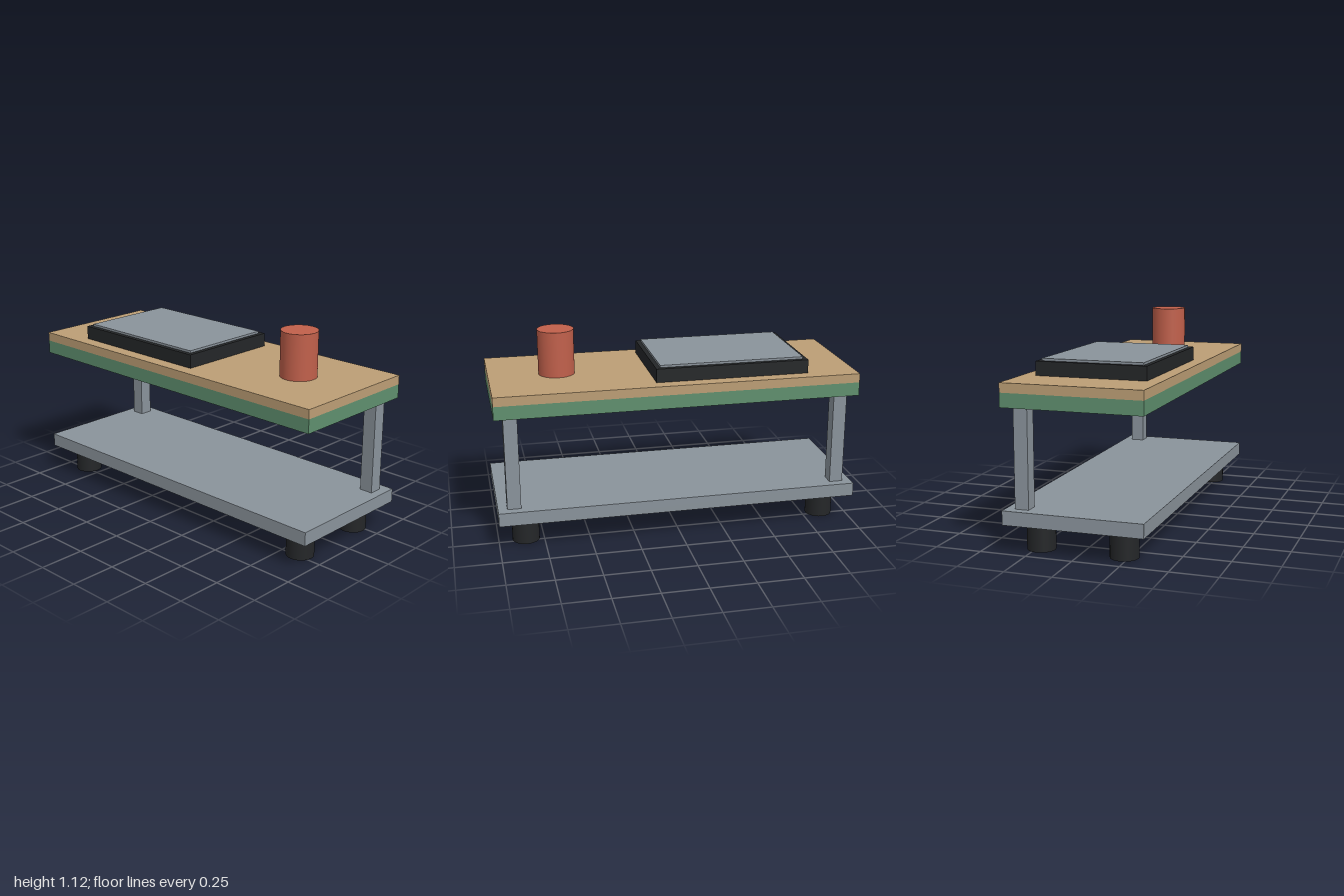
import * as THREE from 'three';

export function createModel() {
  const group = new THREE.Group();
  const mat = (color) => new THREE.MeshStandardMaterial({ color });
  const steel = mat(0x8a939b), black = mat(0x242628), green = mat(0x5f8f6e);
  const wood = mat(0xbc9e75), red = mat(0xc1604b);

  const add = (name, geometry, material, x, y, z) => {
    const mesh = new THREE.Mesh(geometry, material);
    mesh.name = name;
    mesh.position.set(x, y, z);
    group.add(mesh);
  };
  // y is the underside of each part
  const box = (name, material, w, h, d, x, y, z) =>
    add(name, new THREE.BoxGeometry(w, h, d), material, x, y + h / 2, z);
  const cylinder = (name, material, r, h, x, y, z) =>
    add(name, new THREE.CylinderGeometry(r, r, h, 24), material, x, y + h / 2, z);

  // Lower shelf and layered worktop
  box('lowerShelf', steel, 2, 0.075, 0.75, 0, 0.15, 0);
  box('worktopBase', green, 2, 0.075, 0.75, 0, 0.75, 0);
  box('worktopSurface', wood, 2, 0.05, 0.75, 0, 0.825, 0);

  // Feet at the four corners, posts along the back only
  for (const [side, s] of [['left', 1], ['right', -1]]) {
    cylinder(side + 'FrontFoot', black, 0.075, 0.15, s * 0.85, 0, 0.225);
    cylinder(side + 'BackFoot', black, 0.075, 0.15, s * 0.85, 0, -0.225);
    box(side + 'Post', steel, 0.075, 0.525, 0.075, s * 0.9125, 0.225, -0.2875);
  }

  // Hot plate and canister on the worktop
  box('hotPlateBase', black, 0.85, 0.075, 0.6, -0.3, 0.875, 0);
  box('hotPlateTop', steel, 0.8, 0.0125, 0.55, -0.3, 0.95, 0);
  cylinder('canister', red, 0.1, 0.25, 0.625, 0.875, 0);

  return group;
}
